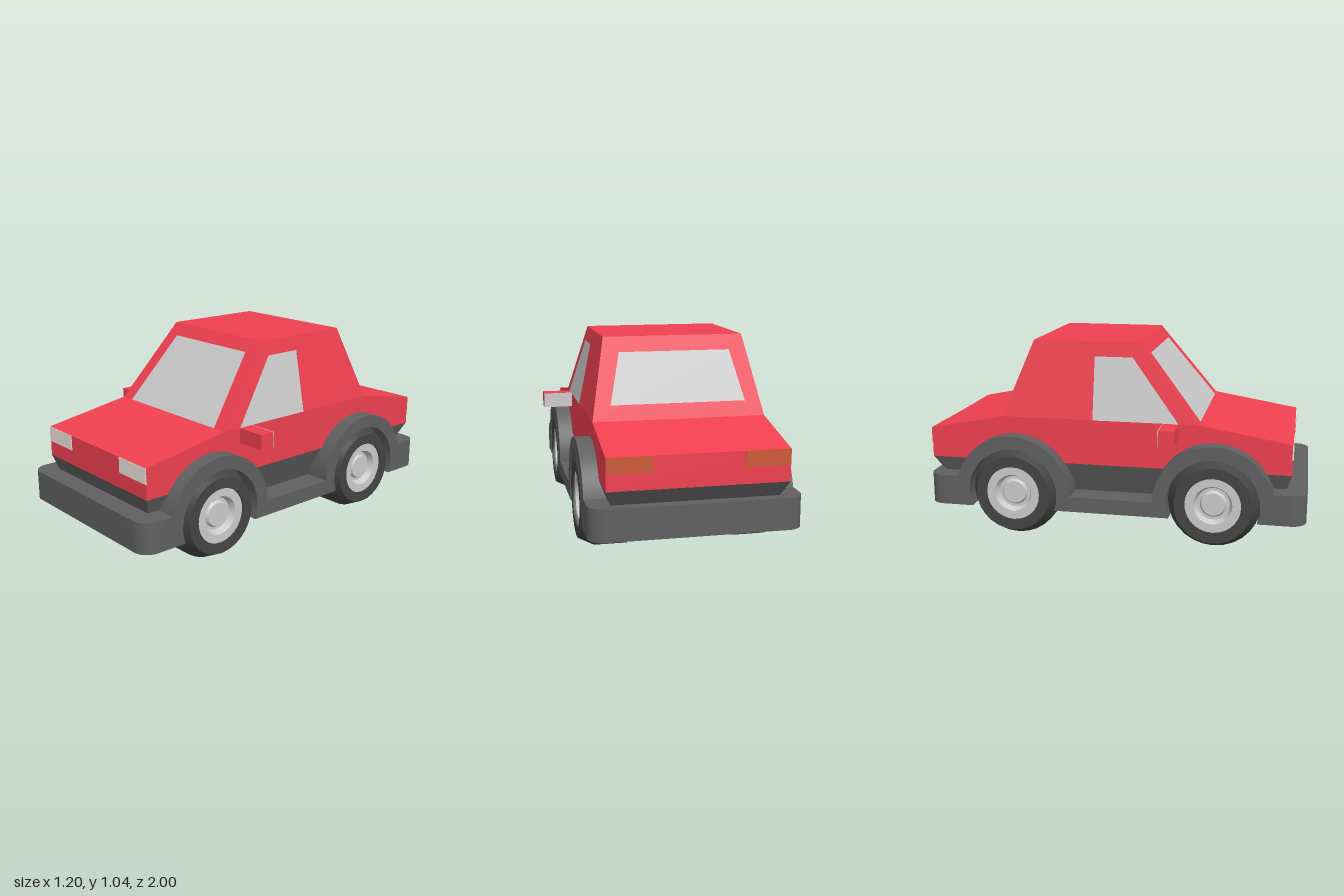
import * as THREE from 'three';
import { toCreasedNormals } from 'three/addons/utils/BufferGeometryUtils.js';

const mat = (color, opts = {}) => new THREE.MeshStandardMaterial({ color, ...opts });
const red = mat(0xf04050), dark = mat(0x606060), rubber = mat(0x444444);
const grey = mat(0xcccccc), glass = mat(0xcccccc, { side: THREE.DoubleSide });
const lamp = mat(0xebe4da), tailLamp = mat(0xcc5a36);

const WHEEL_Z = 0.53, WHEEL_Y = 0.24, WHEEL_R = 0.24, ARCH_R = 0.31;

// Six-sided solid between two level rectangles: [y, halfWidth, back z, front z]
function frustum(bottom, top) {
  const g = new THREE.BoxGeometry(1, 1, 1);
  const p = g.attributes.position;
  for (let i = 0; i < p.count; i++) {
    const [y, w, back, front] = p.getY(i) < 0 ? bottom : top;
    p.setXYZ(i, Math.sign(p.getX(i)) * w, y, p.getZ(i) < 0 ? back : front);
  }
  g.computeVertexNormals();
  return g;
}

// Flat four-cornered pane
function pane(corners) {
  const g = new THREE.BufferGeometry();
  g.setAttribute('position', new THREE.Float32BufferAttribute(corners.flat(), 3));
  g.setIndex([0, 1, 2, 0, 2, 3]);
  g.computeVertexNormals();
  return g;
}

// Side outline (z, y) extruded across the car from x0 to x1
function sideExtrude(shape, x0, x1) {
  const g = new THREE.ExtrudeGeometry(shape, { depth: x1 - x0, bevelEnabled: false, curveSegments: 28 });
  g.rotateY(Math.PI / 2).scale(1, 1, 1).translate(x0, 0, 0);
  return toCreasedNormals(g, 0.5);
}

// Lathe profile [radius, x] turned about the axle
function axleLathe(points) {
  const g = new THREE.LatheGeometry(points.map(([r, x]) => new THREE.Vector2(r, x)), 28);
  return toCreasedNormals(g.rotateZ(-Math.PI / 2), 0.4);
}

export function createModel() {
  const car = new THREE.Group();
  car.name = 'car';
  const add = (name, geometry, material, parent = car) => {
    const m = new THREE.Mesh(geometry, material);
    m.name = name;
    parent.add(m);
    return m;
  };

  // Red lower body (shape x is minus z)
  const outline = new THREE.Shape([
    [-0.92, 0.4], [-0.92, 0.56], [-0.44, 0.64], [0.6, 0.64], [1, 0.56], [1, 0.4],
  ].map(([a, b]) => new THREE.Vector2(a, b)));
  const body = new THREE.ExtrudeGeometry(outline, { depth: 0.88, bevelEnabled: false });
  add('body', body.rotateY(Math.PI / 2).translate(-0.44, 0, 0), red);

  // Cabin and tapered dark skirt
  add('cabin', frustum([0.64, 0.44, -0.6, 0.44], [1.04, 0.36, -0.44, 0.12]), red);
  add('skirt', frustum([0.24, 0.38, -0.89, 0.87], [0.4, 0.44, -1, 0.92]), dark);

  // Windows lie just proud of the sloping cabin walls
  const e = 0.003;
  const frontZ = y => 0.44 - 0.8 * (y - 0.64) + e;
  const backZ = y => -0.6 + 0.4 * (y - 0.64) - e;
  const sideX = y => 0.44 - 0.2 * (y - 0.64) + e;
  add('windshield', pane([[-0.36, 0.64], [0.36, 0.64], [0.29, 0.98], [-0.29, 0.98]]
    .map(([x, y]) => [x, y, frontZ(y)])), glass);
  add('rearWindow', pane([[0.345, 0.715], [-0.345, 0.715], [-0.285, 0.965], [0.285, 0.965]]
    .map(([x, y]) => [x, y, backZ(y)])), glass);

  // Floor between the wheel wells
  add('floor', new THREE.BoxGeometry(0.56, 0.16, 1.76).translate(0, 0.24, 0), dark);

  // Sill and wheel arches in one outline
  const a = Math.asin(0.08 / ARCH_R), c = Math.asin(0.08 / WHEEL_R);
  const fender = new THREE.Shape();
  fender.moveTo(-0.88, 0.16);
  fender.lineTo(-0.88, 0.32);
  fender.absarc(-WHEEL_Z, WHEEL_Y, ARCH_R, Math.PI - a, 0, true);
  fender.absarc(WHEEL_Z, WHEEL_Y, ARCH_R, Math.PI, a, true);
  fender.lineTo(0.88, 0.32);
  fender.lineTo(0.88, 0.16);
  fender.absarc(WHEEL_Z, WHEEL_Y, WHEEL_R, -c, Math.PI + c, false);
  fender.absarc(-WHEEL_Z, WHEEL_Y, WHEEL_R, -c, Math.PI + c, false);
  fender.closePath();

  // Bumper plan with rounded outer corners
  const plan = new THREE.Shape();
  plan.moveTo(-0.52, 0.88);
  plan.lineTo(0.52, 0.88);
  plan.absarc(0.44, 0.92, 0.08, 0, Math.PI / 2, false);
  plan.absarc(-0.44, 0.92, 0.08, Math.PI / 2, Math.PI, false);
  plan.closePath();
  const bumper = toCreasedNormals(
    new THREE.ExtrudeGeometry(plan, { depth: 0.16, bevelEnabled: false, curveSegments: 8 })
      .rotateX(Math.PI / 2).translate(0, 0.32, 0), 0.6);
  add('frontBumper', bumper, dark);
  add('rearBumper', bumper, dark).rotation.y = Math.PI;

  // Wheel parts, outer face towards +x
  const tyre = axleLathe([[0, 0.28], [0.24, 0.28], [0.24, 0.44], [0.2, 0.52], [0.145, 0.52], [0.145, 0.49]]);
  const rim = axleLathe([[0.145, 0.51], [0.1, 0.51], [0.085, 0.475], [0.07, 0.475], [0.06, 0.49], [0, 0.49]]);

  for (const side of [1, -1]) {
    const label = side > 0 ? 'left' : 'right';

    add(label + 'Fender', side > 0 ? sideExtrude(fender, 0.28, 0.52) : sideExtrude(fender, -0.52, -0.28), dark);

    add(label + 'Window', pane([[0.34, 0.64], [-0.11, 0.64], [-0.11, 0.965], [0.09, 0.965]]
      .map(([z, y]) => [side * sideX(y), y, z])), glass);

    // Door mirror with glass on its rear face
    const mirror = new THREE.Group();
    mirror.name = label + 'Mirror';
    mirror.position.set(side * 0.52, 0.6, 0.3);
    add('mirrorHousing', new THREE.BoxGeometry(0.16, 0.08, 0.08), red, mirror);
    add('mirrorGlass', new THREE.BoxGeometry(0.16, 0.08, 0.004).translate(0, 0, -0.041), grey, mirror);
    car.add(mirror);

    // Lamps
    const lens = new THREE.BoxGeometry(0.22, 0.08, 0.006);
    add(label + 'Headlight', lens, lamp).position.set(side * 0.33, 0.52, 0.92);
    add(label + 'TailLight', lens, tailLamp).position.set(side * 0.33, 0.52, -1);

    // Wheels
    for (const end of [1, -1]) {
      const wheel = new THREE.Group();
      wheel.name = label + (end > 0 ? 'FrontWheel' : 'RearWheel');
      wheel.position.set(0, WHEEL_Y, end * WHEEL_Z);
      wheel.rotation.y = side > 0 ? 0 : Math.PI;
      add('tyre', tyre, rubber, wheel);
      add('rim', rim, grey, wheel);
      car.add(wheel);
    }
  }
  return car;
}
